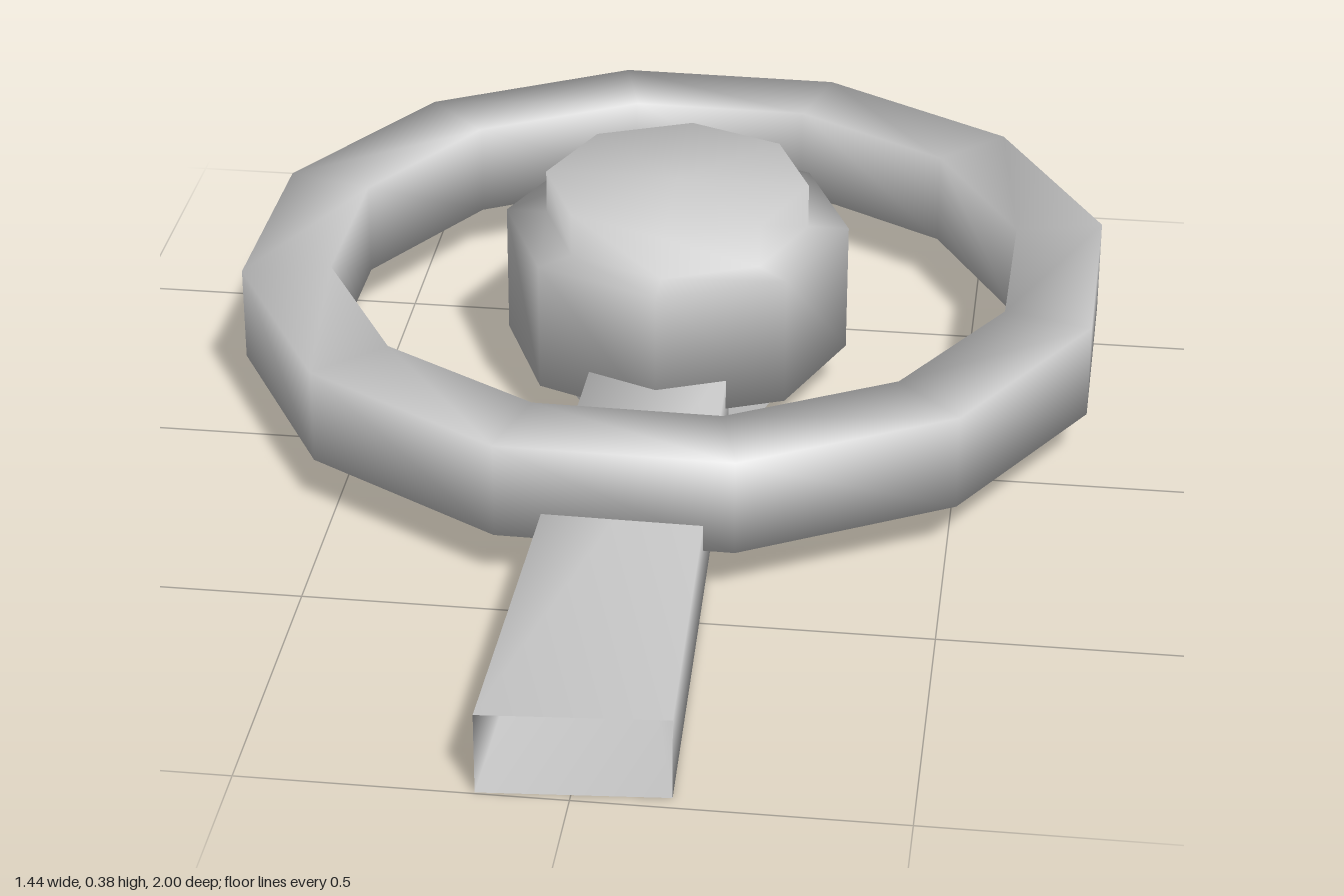
import * as THREE from 'three';
import { mergeVertices } from 'three/addons/utils/BufferGeometryUtils.js';

const CENTRE_Z = -0.287;
const material = new THREE.MeshStandardMaterial({ color: 0xcccccc });
const thinMaterial = new THREE.MeshStandardMaterial({ color: 0xcccccc, side: THREE.DoubleSide });

// Weld shared corners so the shading runs smoothly over every edge
function smooth(geometry) {
  geometry.deleteAttribute('uv');
  geometry.deleteAttribute('normal');
  const welded = mergeVertices(geometry, 1e-4);
  welded.computeVertexNormals();
  return welded;
}

// Revolve a [radius, y] profile around the wheel axis
function turned(name, profile, sides, start, mat) {
  const points = profile.map(([r, y]) => new THREE.Vector2(r, y));
  const mesh = new THREE.Mesh(smooth(new THREE.LatheGeometry(points, sides, start)), mat);
  mesh.name = name;
  mesh.position.z = CENTRE_Z;
  return mesh;
}

// Hollow four-sided sleeve, open at both ends and slightly skewed
function sleeve() {
  const end = (left, right) => [
    [left[0], 0, left[1]], [right[0], 0, right[1]],
    [right[0], 0.135, right[1]], [left[0], 0.135, left[1]],
  ];
  const front = end([-0.14, 0.997], [0.148, 0.975]);
  const back = end([-0.115, -0.18], [0.11, -0.11]);
  const index = [];
  for (let i = 0; i < 4; i++) {
    const j = (i + 1) % 4;
    index.push(i, i + 4, j, j, i + 4, j + 4);
  }
  const geometry = new THREE.BufferGeometry();
  geometry.setAttribute('position', new THREE.Float32BufferAttribute([...front, ...back].flat(), 3));
  geometry.setIndex(index);
  geometry.computeVertexNormals();
  return geometry;
}

export function createModel() {
  const model = new THREE.Group();
  model.name = 'handWheel';

  // Twelve-sided rim with a square section
  model.add(turned('rim',
    [[0.59, 0.09], [0.74, 0.09], [0.74, 0.252], [0.59, 0.252], [0.59, 0.09]],
    12, THREE.MathUtils.degToRad(14), material));

  // Stepped eight-sided hub
  model.add(turned('hub',
    [[0, 0.082], [0.293, 0.082], [0.293, 0.307], [0.224, 0.307], [0.224, 0.383], [0, 0.383]],
    8, 0, material));

  // Open collar beneath the hub
  model.add(turned('collar', [[0.212, 0.018], [0.212, 0.082]], 8, 0.08, thinMaterial));

  // Arm reaching forward under the rim
  const arm = new THREE.Mesh(sleeve(), thinMaterial);
  arm.name = 'arm';
  model.add(arm);

  return model;
}
